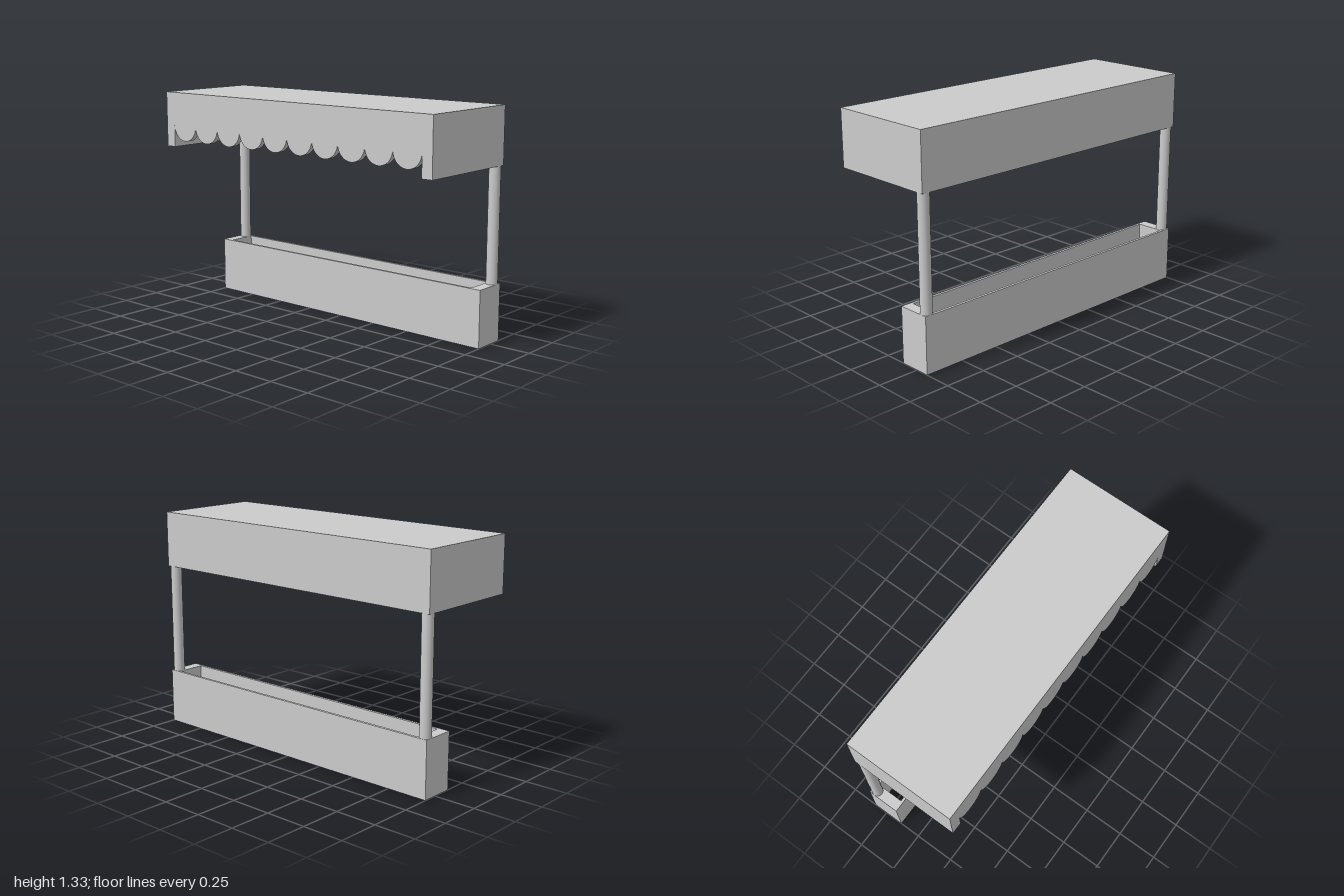
import * as THREE from 'three';

const U = 1 / 15;   // end wall thickness and post diameter
const T = U / 2;    // thickness of canopy roof, back and front
const material = new THREE.MeshStandardMaterial({ color: 0xcccccc });

function addMesh(parent, name, geometry, x = 0, y = 0, z = 0) {
  const mesh = new THREE.Mesh(geometry, material);
  mesh.name = name;
  mesh.position.set(x, y, z);
  parent.add(mesh);
  return mesh;
}

const rectPoints = (x, y) => [[-x, -y], [x, -y], [x, y], [-x, y]].map(([a, b]) => new THREE.Vector2(a, b));

// Open rectangular frame, extruded upward from y = 0
function frameGeometry(width, depth, height, endWall, sideWall) {
  const shape = new THREE.Shape(rectPoints(width / 2, depth / 2));
  shape.holes.push(new THREE.Path(rectPoints(width / 2 - endWall, depth / 2 - sideWall)));
  return new THREE.ExtrudeGeometry(shape, { depth: height, bevelEnabled: false }).rotateX(-Math.PI / 2);
}

// Front board with legs at both ends and a row of semicircular scallops
function valanceGeometry(height, thickness, count) {
  const inner = 1 - U;
  const r = inner / count;
  const cusp = 2 * U;
  const shape = new THREE.Shape();
  shape.moveTo(-1, 0);
  shape.lineTo(-inner, 0);
  shape.lineTo(-inner, cusp);
  for (let i = 0; i < count; i++) {
    shape.absarc(-inner + r * (2 * i + 1), cusp, r, Math.PI, 2 * Math.PI, false);
  }
  shape.lineTo(inner, 0);
  shape.lineTo(1, 0);
  shape.lineTo(1, height);
  shape.lineTo(-1, height);
  shape.closePath();
  return new THREE.ExtrudeGeometry(shape, { depth: thickness, bevelEnabled: false, curveSegments: 24 });
}

export function createModel() {
  const model = new THREE.Group();
  model.name = 'marketStall';

  // Counter: hollow box open at top and bottom, with thin long walls
  addMesh(model, 'counter', frameGeometry(2, 3 * U, 5 * U, U, U / 4), 0, 0, -3.5 * U);

  // Posts at the back corners
  for (const side of [-1, 1]) {
    addMesh(model, side > 0 ? 'leftPost' : 'rightPost',
      new THREE.CylinderGeometry(U / 2, U / 2, 10 * U, 32), side * (1 - U / 2), 10 * U, -4.5 * U);
  }

  // Canopy: roof slab, back and side walls, scalloped front
  const canopy = new THREE.Group();
  canopy.name = 'canopy';
  canopy.position.y = 1;
  model.add(canopy);
  const height = 5 * U;
  const innerDepth = 10 * U - 2 * T;
  addMesh(canopy, 'roof', new THREE.BoxGeometry(2, T, innerDepth), 0, height - T / 2, 0);
  addMesh(canopy, 'backWall', new THREE.BoxGeometry(2, height, T), 0, height / 2, -(innerDepth + T) / 2);
  for (const side of [-1, 1]) {
    addMesh(canopy, side > 0 ? 'leftWall' : 'rightWall',
      new THREE.BoxGeometry(U, height - T, innerDepth), side * (1 - U / 2), (height - T) / 2, 0);
  }
  addMesh(canopy, 'scallopedValance', valanceGeometry(height, T, 10), 0, 0, innerDepth / 2);

  return model;
}
